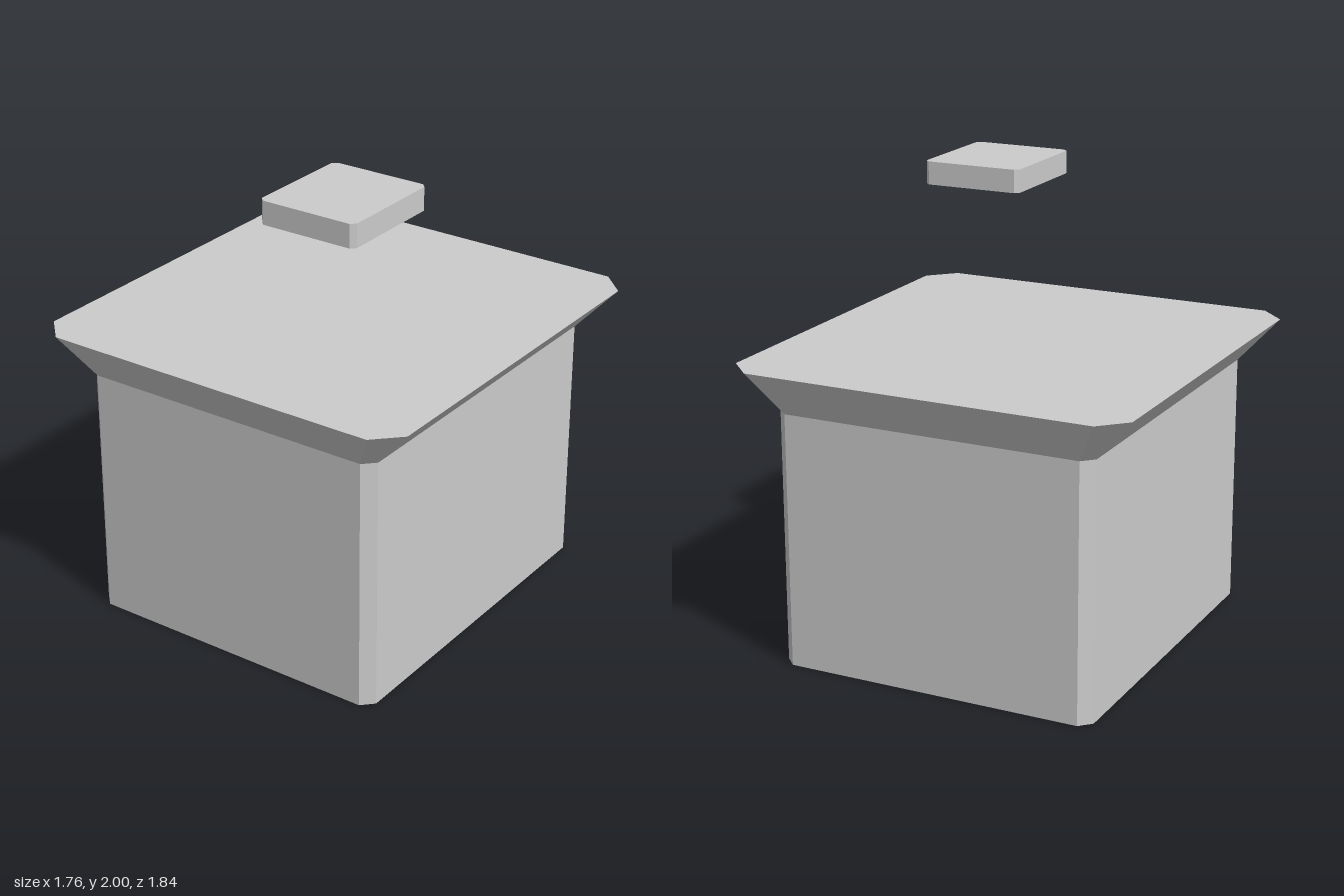
import * as THREE from 'three';

// Rectangle with cut corners at height y: half width w, half depth d, corner cut c
function ring({ y, w, d, c }) {
  return [
    [w - c, d], [w, d - c], [w, c - d], [w - c, -d],
    [c - w, -d], [-w, c - d], [-w, d - c], [c - w, d],
  ].map(([x, z]) => [x, y, z]);
}

// Faceted solid through sections listed from bottom to top
function loft(sections, capBottom = true, capTop = true) {
  const rings = sections.map(ring);
  const pos = [];
  const tri = (a, b, c) => pos.push(...a, ...b, ...c);
  for (let s = 0; s < rings.length - 1; s++) {
    const lo = rings[s], hi = rings[s + 1];
    for (let i = 0; i < 8; i++) {
      const j = (i + 1) % 8;
      tri(lo[i], lo[j], hi[j]);
      tri(lo[i], hi[j], hi[i]);
    }
  }
  const bottom = rings[0], top = rings[rings.length - 1];
  for (let i = 1; i < 7; i++) {
    if (capBottom) tri(bottom[0], bottom[i + 1], bottom[i]);
    if (capTop) tri(top[0], top[i], top[i + 1]);
  }
  const geo = new THREE.BufferGeometry();
  geo.setAttribute('position', new THREE.Float32BufferAttribute(pos, 3));
  geo.computeVertexNormals();
  return geo;
}

export function createModel() {
  const model = new THREE.Group();
  const grey = new THREE.MeshStandardMaterial({ color: 0xcccccc });
  grey.name = 'light grey';

  const add = (name, geometry) => {
    const mesh = new THREE.Mesh(geometry, grey);
    mesh.name = name;
    model.add(mesh);
    return mesh;
  };

  const foot = { y: 0, w: 0.71, d: 0.802, c: 0.05 };
  const neck = { ...foot, y: 1.11 };
  const rim = { y: 1.3, w: 0.88, d: 0.92, c: 0.11 };

  // Straight block and the flared top that grows out of it
  add('body', loft([foot, neck], true, false));
  add('flaredTop', loft([neck, rim], false, true));

  // Small slab floating above the front left quarter
  const slab = add('floatingSlab', loft([
    { y: 0, w: 0.223, d: 0.249, c: 0.02 },
    { y: 0.1, w: 0.223, d: 0.249, c: 0.02 },
  ]));
  slab.position.set(0.285, 1.9, 0.38);

  return model;
}
